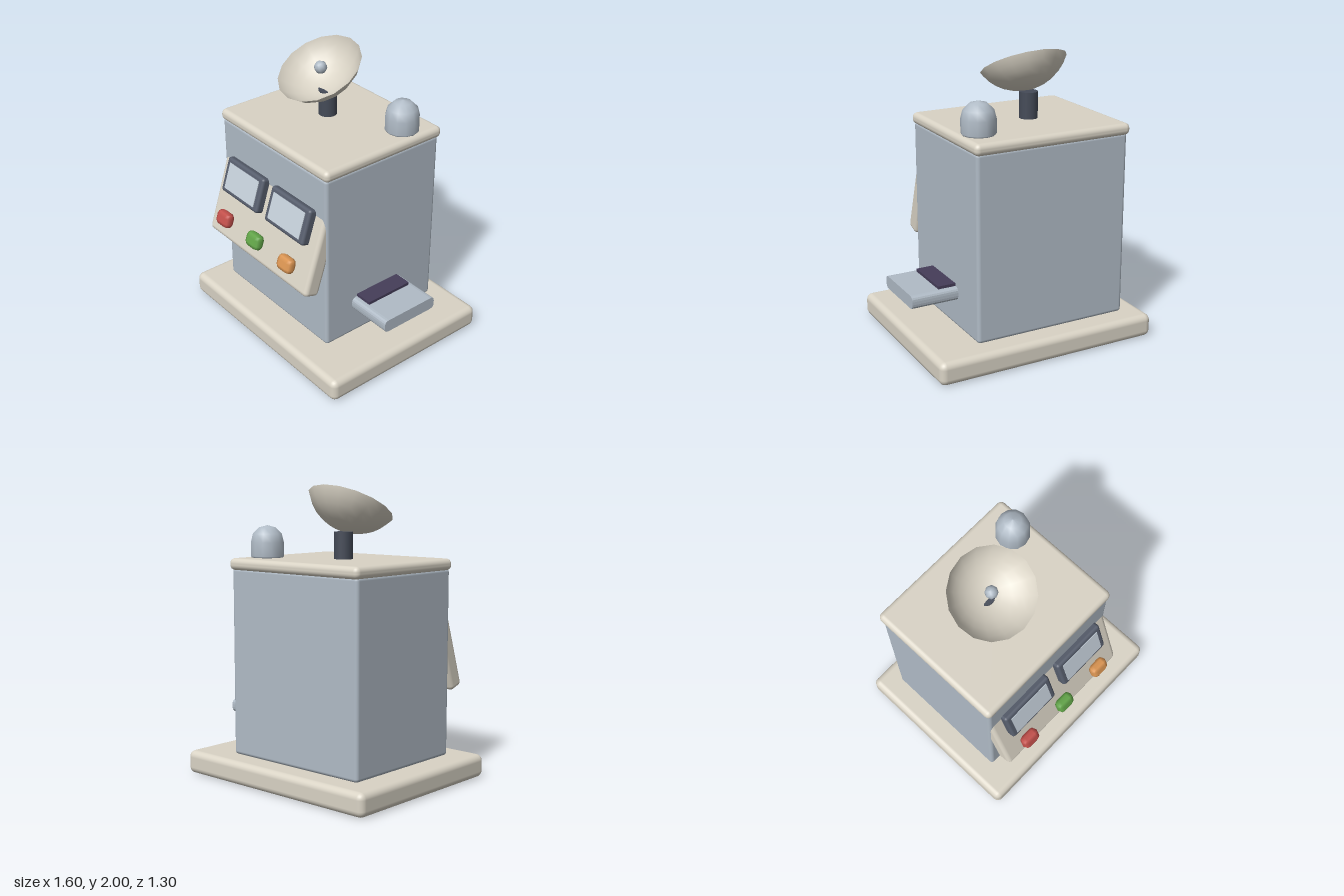
import * as THREE from 'three';
import { RoundedBoxGeometry } from 'three/addons/geometries/RoundedBoxGeometry.js';

const material = (name, color, side = THREE.FrontSide) => {
  const m = new THREE.MeshStandardMaterial({ color, side });
  m.name = name;
  return m;
};

export function createModel() {
  const cream = material('cream', 0xd9d3c5, THREE.DoubleSide);
  const blueGrey = material('blue grey', 0xb0bbc6);
  const slate = material('slate', 0x565d6c);
  const charcoal = material('charcoal', 0x454b58);
  const glass = material('pale glass', 0xc4cfd9);
  const red = material('red', 0xc4504b);
  const green = material('green', 0x62a548);
  const orange = material('orange', 0xdb9552);
  const purple = material('dark purple', 0x453d59);

  const model = new THREE.Group();
  model.name = 'controlConsole';

  const add = (name, geometry, mat, x, y, z, parent = model) => {
    const mesh = new THREE.Mesh(geometry, mat);
    mesh.name = name;
    mesh.position.set(x, y, z);
    parent.add(mesh);
    return mesh;
  };
  const box = (w, h, d, r, seg = 3) => new RoundedBoxGeometry(w, h, d, seg, r);

  // Plinth, cabinet and lid
  add('base', box(1.6, 0.16, 1.3, 0.045), cream, 0, 0.08, 0);
  add('cabinet', box(1.11, 1.28, 0.95, 0.025), blueGrey, -0.085, 0.805, -0.035);
  add('lid', box(1.14, 0.08, 0.98, 0.035), cream, -0.085, 1.47, -0.04);

  // Sloping control panel: local z points out of its face, local y runs up the slope
  const tilt = 0.32;
  const panel = new THREE.Group();
  panel.name = 'controlPanel';
  panel.rotation.x = -tilt;
  panel.position.x = -0.085;
  model.add(panel);
  add('panelBoard', box(1.09, 0.62, 0.12, 0.03), cream, 0, 0.72, 0.72, panel);

  // Two framed screens
  for (const x of [-0.247, 0.247]) {
    add('screenFrame', box(0.41, 0.25, 0.08, 0.02, 2), slate, x, 0.866, 0.795, panel);
    add('screen', new THREE.BoxGeometry(0.33, 0.185, 0.008), glass, x, 0.866, 0.836, panel);
  }

  // Three chunky buttons
  [red, green, orange].forEach((mat, i) => {
    add('button', box(0.14, 0.11, 0.075, 0.035, 1), mat, (i - 1) * 0.346, 0.568, 0.826, panel);
  });

  // Output tray: rounded section pulled out sideways, with a dark pad on top
  const w = 0.22, h = 0.045, r = 0.035;
  const section = new THREE.Shape();
  section.moveTo(-w + r, -h);
  section.lineTo(w - r, -h);
  section.quadraticCurveTo(w, -h, w, -h + r);
  section.lineTo(w, h - r);
  section.quadraticCurveTo(w, h, w - r, h);
  section.lineTo(-w + r, h);
  section.quadraticCurveTo(-w, h, -w, h - r);
  section.lineTo(-w, -h + r);
  section.quadraticCurveTo(-w, -h, -w + r, -h);
  const trayGeometry = new THREE.ExtrudeGeometry(section, { depth: 0.38, bevelEnabled: false, curveSegments: 4 });
  trayGeometry.rotateY(Math.PI / 2);
  add('tray', trayGeometry, blueGrey, 0.42, 0.41, 0);
  add('trayPad', new THREE.BoxGeometry(0.15, 0.024, 0.355), purple, 0.52, 0.463, 0);

  // Dish on its post
  add('dishPost', new THREE.CylinderGeometry(0.063, 0.063, 0.19, 16), charcoal, -0.14, 1.595, -0.07);
  const dish = new THREE.Group();
  dish.name = 'dish';
  dish.position.set(-0.14, 1.862, 0);
  dish.rotation.x = 0.486;
  model.add(dish);
  const radius = 0.335, arc = Math.asin(0.295 / radius);
  const bowl = new THREE.SphereGeometry(radius, 16, 6, 0, Math.PI * 2, Math.PI - arc, arc);
  add('dishBowl', bowl, cream, 0, radius * Math.cos(arc), 0, dish);
  add('dishReceiver', new THREE.SphereGeometry(0.044, 8, 6), blueGrey, 0, -0.005, -0.01, dish);

  // Beacon dome
  const domeProfile = [[0, 0], [0.108, 0], [0.115, 0.012], [0.115, 0.105],
    [0.1, 0.162], [0.058, 0.203], [0, 0.218]].map(([x, y]) => new THREE.Vector2(x, y));
  add('beaconDome', new THREE.LatheGeometry(domeProfile, 12), blueGrey, 0.348, 1.508, -0.295);

  return model;
}
